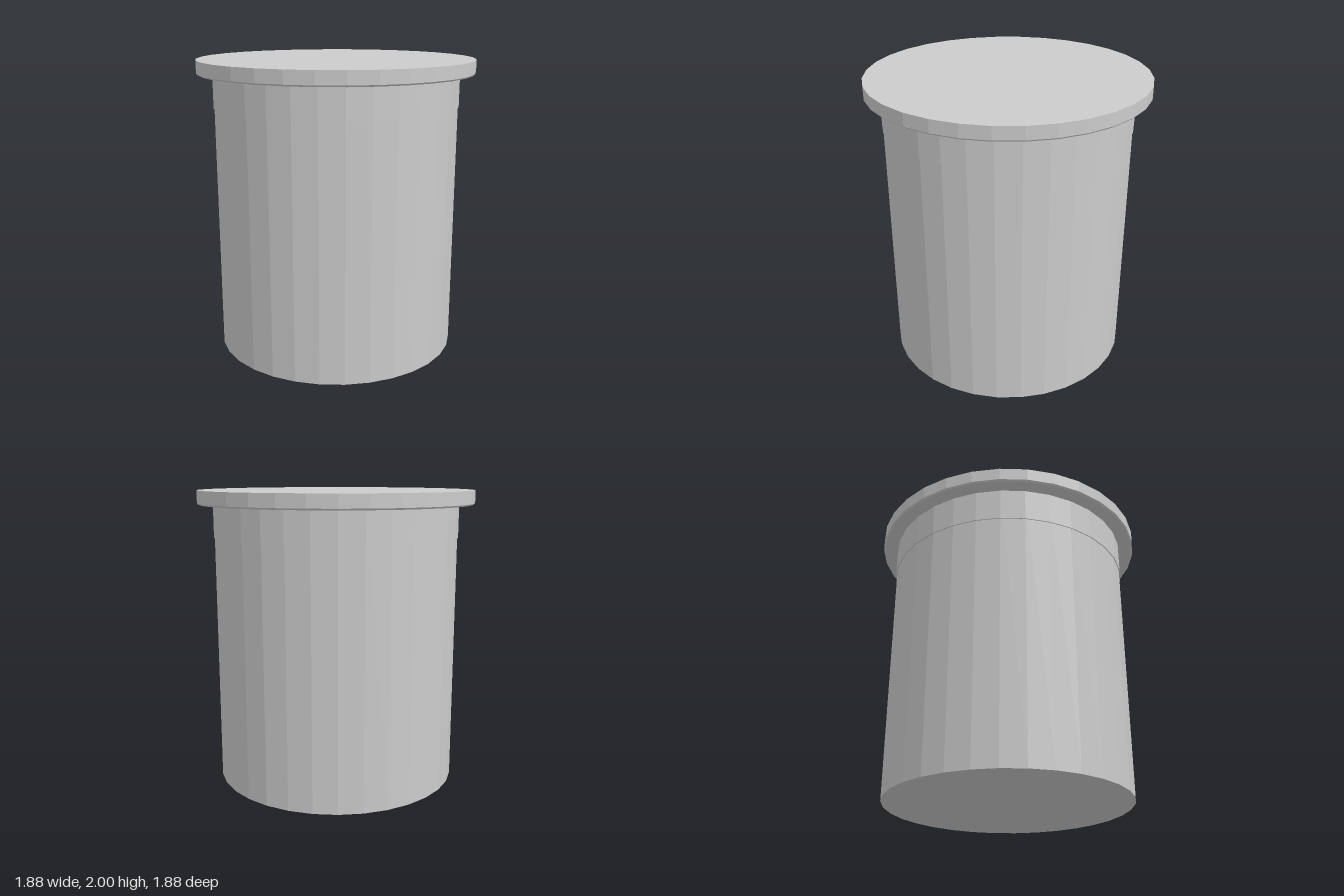
import * as THREE from 'three';

const SIDES = 32;
const material = new THREE.MeshStandardMaterial({ color: 0xcccccc, flatShading: true, side: THREE.DoubleSide });

// Revolve a [radius, y] profile into a faceted part
function turned(name, profile) {
  const points = profile.map(([r, y]) => new THREE.Vector2(r, y));
  const mesh = new THREE.Mesh(new THREE.LatheGeometry(points, SIDES), material);
  mesh.name = name;
  return mesh;
}

export function createModel() {
  const group = new THREE.Group();
  group.name = 'liddedJar';

  // Straight-sided body with a closed base
  group.add(turned('body', [[0, 0], [0.83, 0], [0.83, 1.905]]));

  // Thin lid skirt gripping the top of the body
  group.add(turned('lidSkirt', [[0.83, 1.685], [0.836, 1.685], [0.836, 1.905]]));

  // Overhanging lid disc with a fine chamfer under its rim
  group.add(turned('lid', [[0, 1.905], [0.93, 1.905], [0.94, 1.915], [0.94, 2], [0, 2]]));

  return group;
}
